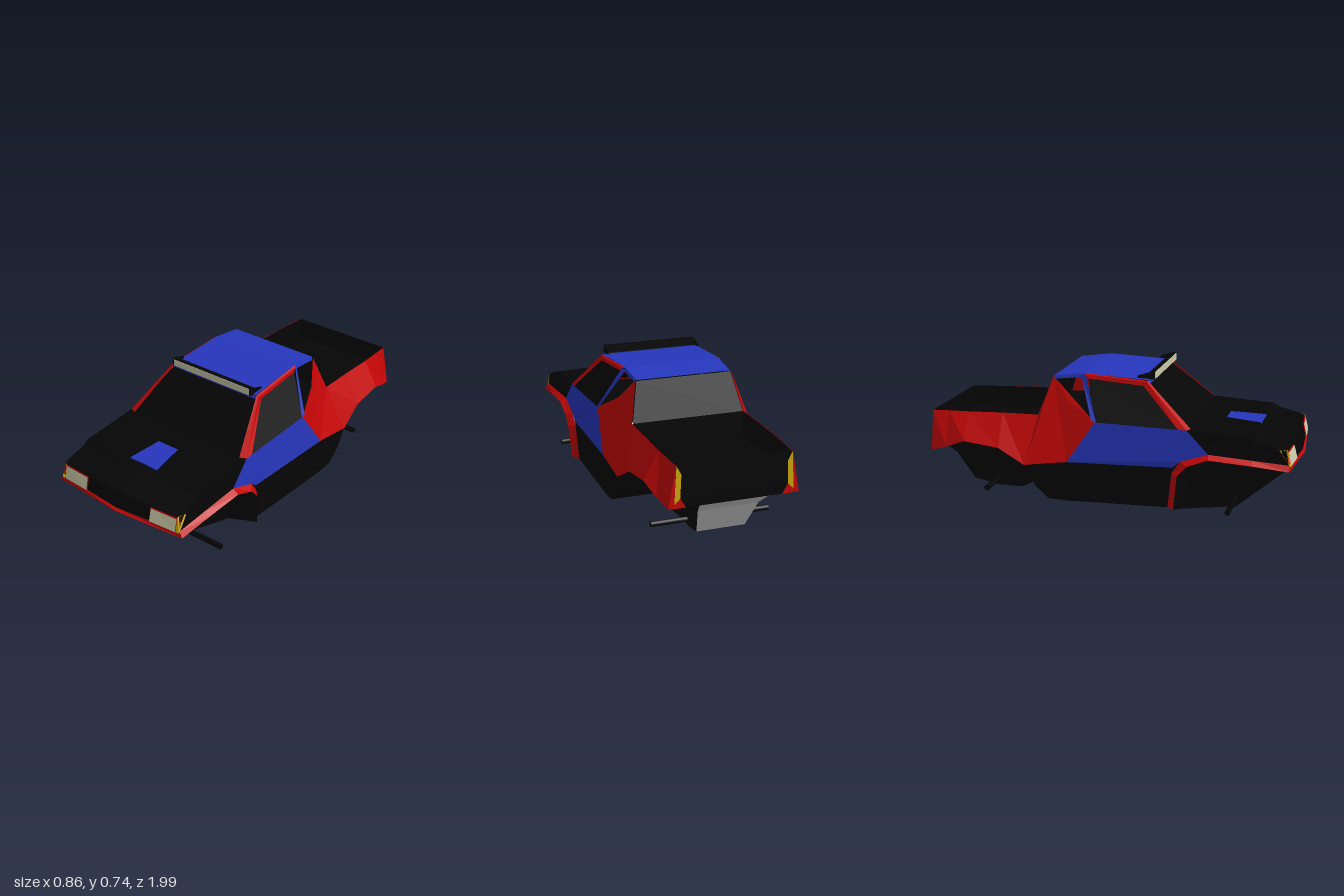
import * as THREE from 'three';

const paint = (name, color) => {
  const m = new THREE.MeshStandardMaterial({ color, side: THREE.DoubleSide });
  m.name = name;
  return m;
};

export function createModel() {
  const root = new THREE.Group();
  root.name = 'pickupBody';
  const black = paint('black', 0x050505);
  const red = paint('red', 0xc40606);
  const blue = paint('blue', 0x2636bc);
  const grey = paint('grey', 0xcccccc);
  const cream = paint('cream', 0xcccaaa);
  const yellow = paint('yellow', 0xd0a808);

  const add = (name, mat, geometry) => {
    const mesh = new THREE.Mesh(geometry, mat);
    mesh.name = name;
    root.add(mesh);
    return mesh;
  };
  const flip = (pts) => pts.map(([x, y, z]) => [-x, y, z]);

  // Faceted geometry from a list of triangles
  const faceted = (tris) => {
    const g = new THREE.BufferGeometry();
    g.setAttribute('position', new THREE.Float32BufferAttribute(tris.flat(2), 3));
    g.computeVertexNormals();
    return g;
  };
  // Polygon fanned from its first corner
  const panel = (name, mat, pts) => {
    const tris = [];
    for (let i = 1; i < pts.length - 1; i++) tris.push([pts[0], pts[i], pts[i + 1]]);
    return add(name, mat, faceted(tris));
  };
  // Band of faces between two rows of points
  const strip = (name, mat, a, b) => {
    const tris = [];
    for (let i = 0; i < a.length - 1; i++) {
      tris.push([a[i], b[i], b[i + 1]], [a[i], b[i + 1], a[i + 1]]);
    }
    return add(name, mat, faceted(tris));
  };
  const panels = (name, mat, pts) => {
    panel(name + 'Left', mat, pts);
    panel(name + 'Right', mat, flip(pts).reverse());
  };
  const strips = (name, mat, a, b) => {
    strip(name + 'Left', mat, a, b);
    strip(name + 'Right', mat, flip(b), flip(a));
  };
  const across = (name, mat, a) => strip(name, mat, a, flip(a));

  // Axles
  for (const [name, length, y, z] of [['frontAxle', 0.8, 0.06, 0.65], ['rearAxle', 0.64, 0.06, -0.69]]) {
    add(name, black, new THREE.CylinderGeometry(0.015, 0.015, length, 8).rotateZ(Math.PI / 2).translate(0, y, z));
  }

  // Hood and front fenders
  const hoodEdge = [[0.388, 0.405, 0.94], [0.388, 0.44, 0.8], [0.388, 0.46, 0.77], [0.39, 0.48, 0.43]];
  strips('hood', black, hoodEdge, [[0, 0.41, 0.965], [0, 0.45, 0.8], [0, 0.465, 0.77], [0, 0.48, 0.44]]);
  strips('frontFender', black, hoodEdge,
    [[0.39, 0.335, 0.955], [0.392, 0.345, 0.8], [0.392, 0.347, 0.77], [0.395, 0.36, 0.545]]);
  across('hoodScoop', blue, [[0.09, 0.462, 0.772], [0.09, 0.469, 0.765], [0.065, 0.48, 0.58]]);

  // Front wheel arch trim, flared outward, and the well behind it
  const archTop = [[0.39, 0.335, 0.955], [0.392, 0.347, 0.77], [0.395, 0.362, 0.545],
    [0.4, 0.315, 0.4], [0.395, 0.25, 0.355], [0.385, 0.06, 0.333]];
  const archLow = [[0.41, 0.305, 0.96], [0.42, 0.325, 0.77], [0.43, 0.342, 0.55],
    [0.43, 0.3, 0.44], [0.43, 0.245, 0.39], [0.415, 0.06, 0.37]];
  const wellTop = archLow.map(([, y, z], i) => (i === 5 ? [0.23, 0.005, 0.38] : [0.235, y, z]));
  strips('frontArchTrim', red, archTop, archLow);
  strips('frontWheelWell', black, archLow, wellTop);

  // Front belly, narrowing downward behind the skid plate
  const keel = [[0.235, 0.3, 0.97], [0.163, 0.115, 0.77], [0.12, 0.005, 0.65],
    [0.2, 0.005, 0.455], [0.23, 0.005, 0.38], [0.23, 0.005, 0.38]];
  strips('frontBellySide', black, wellTop, keel);
  across('frontSkidPlate', grey, keel.slice(0, 3));
  across('frontBelly', black, keel.slice(2, 5));

  // Nose: bumper lip, grille, lamp frames and lamps
  strips('bumperLip', red, [[0, 0.315, 0.98], [0.39, 0.335, 0.955]], [[0, 0.303, 0.993], [0.41, 0.305, 0.96]]);
  strips('bumperUnderside', black, [[0, 0.303, 0.993], [0.41, 0.305, 0.96]], [[0, 0.3, 0.965], [0.235, 0.3, 0.96]]);
  panels('grille', black, [[0, 0.41, 0.965], [0, 0.315, 0.98], [0.208, 0.325, 0.969], [0.208, 0.407, 0.953]]);
  panels('lampFrame', red, [[0.208, 0.4, 0.955], [0.208, 0.322, 0.97], [0.39, 0.33, 0.957], [0.388, 0.4, 0.942]]);
  panels('lampBrow', black, [[0.208, 0.407, 0.953], [0.208, 0.4, 0.955], [0.388, 0.4, 0.942], [0.388, 0.405, 0.94]]);
  panels('headlight', cream,
    [[0.212, 0.395, 0.959], [0.212, 0.327, 0.976], [0.369, 0.327, 0.965], [0.369, 0.395, 0.95]]);
  panels('turnSignal', yellow,
    [[0.372, 0.408, 0.946], [0.372, 0.326, 0.965], [0.393, 0.328, 0.963], [0.395, 0.36, 0.942], [0.393, 0.412, 0.905]]);

  // Doors, sills and floor
  panels('door', blue, [[0.39, 0.49, -0.055], [0.39, 0.48, 0.43], [0.395, 0.362, 0.545],
    [0.4, 0.315, 0.4], [0.397, 0.28, 0.36], [0.41, 0.27, -0.205]]);
  const sillLow = [[0.385, 0.06, 0.333], [0.4, 0.055, -0.2], [0.4, 0.06, -0.31], [0.405, 0.125, -0.38], [0.41, 0.235, -0.44]];
  strips('sill', black,
    [[0.397, 0.28, 0.36], [0.41, 0.27, -0.205], [0.41, 0.255, -0.32], [0.41, 0.24, -0.42], [0.41, 0.235, -0.44]], sillLow);
  across('underfloor', black, [[0.23, 0.005, 0.38], [0.415, 0.06, 0.37], ...sillLow]);
  across('cabShelf', black, [[0.37, 0.475, 0.42], [0.37, 0.485, -0.055], [0.285, 0.485, -0.385]]);

  // Windshield, pillars and side windows
  across('windshield', black, [[0.36, 0.48, 0.44], [0.279, 0.682, 0.205]]);
  const railInner = [[0.355, 0.48, 0.445], [0.275, 0.7, 0.2], [0.265, 0.72, -0.145]];
  const railOuter = [[0.39, 0.48, 0.43], [0.287, 0.695, 0.2], [0.275, 0.715, -0.14]];
  const railLow = [[0.39, 0.48, 0.385], [0.29, 0.675, 0.18], [0.28, 0.695, -0.12]];
  strips('pillarFace', red, railInner, railOuter);
  strips('pillarSide', red, railOuter, railLow);
  panels('sideWindow', black, [[0.39, 0.49, -0.05], ...[...railLow].reverse()]);
  strips('doorPillar', blue, [[0.275, 0.718, -0.135], [0.39, 0.49, -0.048]], [[0.268, 0.705, -0.16], [0.389, 0.495, -0.075]]);

  // Roof and its open rear quarters
  across('roof', blue, [[0.282, 0.68, 0.207], [0.275, 0.703, 0.2], [0.265, 0.72, -0.145], [0.26, 0.697, -0.315]]);
  strips('roofRearEdge', blue, [[0.265, 0.72, -0.145], [0.26, 0.697, -0.315]], [[0.27, 0.7, -0.15], [0.265, 0.68, -0.305]]);
  across('rearWindow', black, [[0.26, 0.692, -0.315], [0.305, 0.49, -0.388], [0.305, 0.36, -0.388]]);

  // Rear buttresses and bed sides
  panels('buttressFront', red, [[0.41, 0.27, -0.205], [0.39, 0.49, -0.055], [0.33, 0.58, -0.215], [0.265, 0.695, -0.315]]);
  panels('buttressRear', red, [[0.41, 0.27, -0.205], [0.265, 0.695, -0.315], [0.31, 0.49, -0.39], [0.41, 0.235, -0.44]]);
  const bedTop = [[0.31, 0.49, -0.39], [0.31, 0.488, -0.59], [0.31, 0.482, -0.785], [0.305, 0.479, -0.9], [0.3, 0.475, -0.995]];
  const bedLow = [[0.41, 0.235, -0.44], [0.395, 0.315, -0.59], [0.39, 0.337, -0.785], [0.365, 0.29, -0.9], [0.34, 0.26, -0.995]];
  strips('bedSide', red, bedTop, bedLow);
  strips('rearWheelWell', black, bedLow, bedLow.map(([, y, z]) => [0.18, y, z]));

  // Rear belly and skid plate
  const rearKeel = [[0.23, 0.125, -0.38], [0.11, 0.015, -0.555], [0.11, 0.015, -0.695],
    [0.13, 0.05, -0.83], [0.16, 0.2, -0.92], [0.18, 0.26, -0.993]];
  strips('rearBellySide', black, [[0.23, 0.235, -0.44], [0.21, 0.315, -0.59], [0.2, 0.337, -0.785],
    [0.19, 0.32, -0.83], [0.18, 0.29, -0.9], [0.18, 0.26, -0.993]], rearKeel);
  across('rearBelly', black, rearKeel.slice(0, 4));
  across('rearSkidPlate', grey, rearKeel.slice(3));

  // Bed lining
  const liner = bedTop.map(([x, y, z]) => [x - 0.005, y, z]);
  const linerLow = liner.map(([x, , z]) => [x - 0.005, 0.36, z]);
  strips('bedLiner', black, liner, linerLow);
  across('bedFloor', black, linerLow);
  across('tailgateInner', black, [[0.298, 0.475, -0.987], [0.295, 0.36, -0.987]]);

  // Tailgate and tail lamps
  across('tailgate', black, [[0.3, 0.475, -0.995], [0.275, 0.43, -0.995], [0.28, 0.31, -0.995], [0.25, 0.26, -0.995]]);
  panels('tailLamp', yellow, [[0.3, 0.475, -0.996], [0.275, 0.43, -0.996], [0.28, 0.31, -0.996], [0.31, 0.28, -0.996]]);
  panels('rearCorner', red,
    [[0.31, 0.28, -0.995], [0.3, 0.475, -0.995], [0.34, 0.26, -0.995], [0.25, 0.26, -0.995], [0.28, 0.31, -0.995]]);

  // Roof light bar
  add('lightBar', black, new THREE.BoxGeometry(0.524, 0.04, 0.026).translate(0, 0.726, 0.219));
  add('lightBarLens', cream, new THREE.BoxGeometry(0.504, 0.036, 0.003).translate(0, 0.726, 0.233));
  panels('lightBarBracket', black, [[0.261, 0.744, 0.206], [0.261, 0.722, 0.14], [0.261, 0.71, 0.14], [0.261, 0.708, 0.206]]);

  return root;
}
